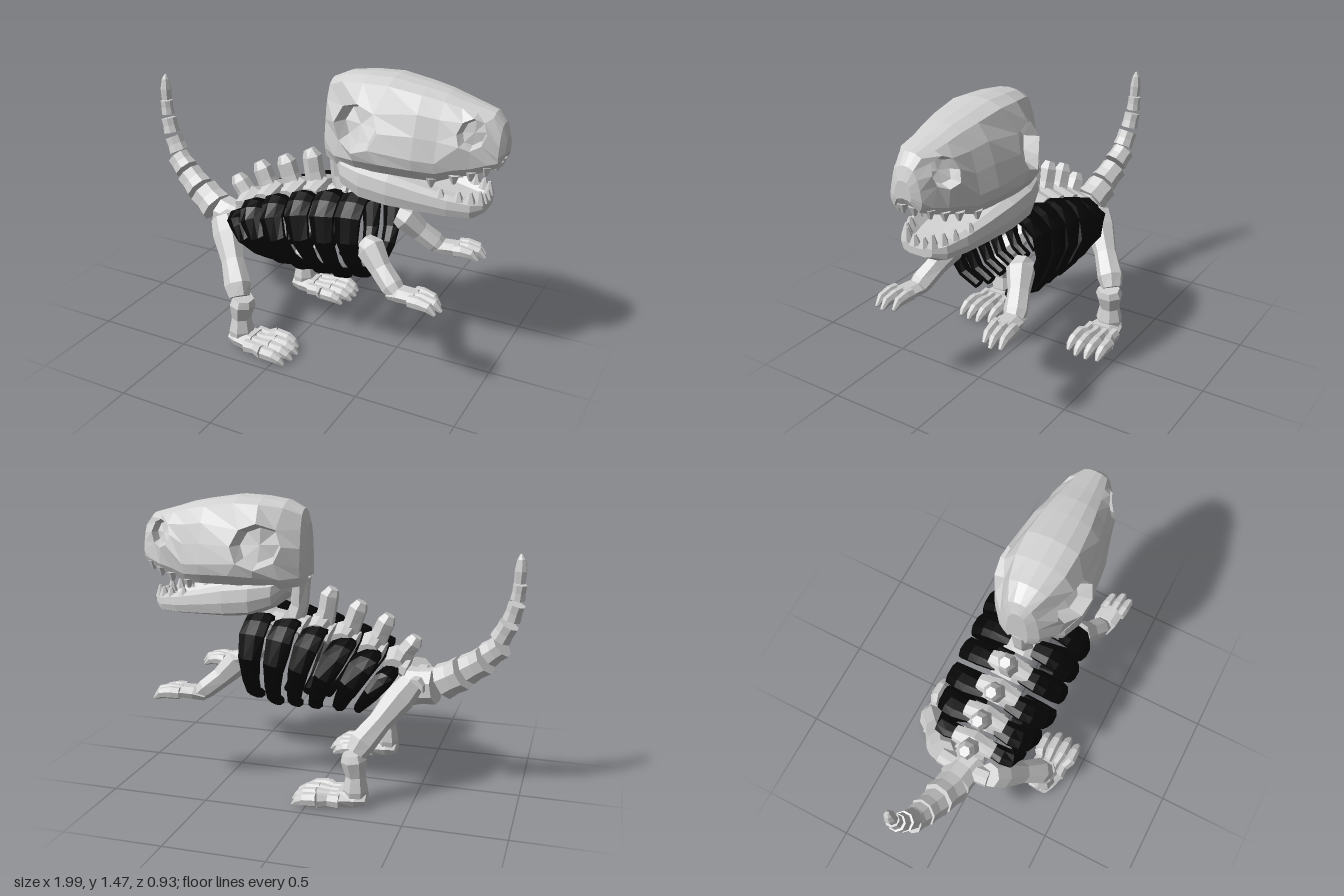
import * as THREE from 'three';

const boneMat = new THREE.MeshStandardMaterial({ color: 0xd0d0d0 });
boneMat.name = 'bone grey';
const ribMat = new THREE.MeshStandardMaterial({ color: 0x050505 });
ribMat.name = 'rib black';

// Faceted mesh from points and triangles, turned outward by its signed volume
function facetMesh(name, pts, tris, mat) {
  let vol = 0;
  for (const [a, b, c] of tris) vol += pts[a].dot(pts[b].clone().cross(pts[c]));
  const pos = [];
  for (const [a, b, c] of tris) {
    for (const i of vol < 0 ? [a, c, b] : [a, b, c]) pos.push(pts[i].x, pts[i].y, pts[i].z);
  }
  const geo = new THREE.BufferGeometry();
  geo.setAttribute('position', new THREE.Float32BufferAttribute(pos, 3));
  geo.computeVertexNormals();
  const mesh = new THREE.Mesh(geo, mat);
  mesh.name = name;
  return mesh;
}

// Loft closed rings; each hole replaces a 2 x 2 block of cells with a recessed socket
function loft(name, rings, mat = boneMat, holes = []) {
  const n = rings[0].length, pts = rings.flat(), tris = [];
  const id = (i, j) => i * n + (j % n);
  const quad = (a, b, c, d) => tris.push([a, b, c], [a, c, d]);
  const fan = (loop) => {
    const centre = new THREE.Vector3();
    loop.forEach((k) => centre.addScaledVector(pts[k], 1 / loop.length));
    pts.push(centre);
    loop.forEach((k, q) => tris.push([k, loop[(q + 1) % loop.length], pts.length - 1]));
  };
  for (let i = 0; i < rings.length - 1; i++) {
    for (let j = 0; j < n; j++) {
      if (holes.some((h) => i >= h.i && i < h.i + 2 && j >= h.j && j < h.j + 2)) continue;
      quad(id(i, j), id(i + 1, j), id(i + 1, j + 1), id(i, j + 1));
    }
  }
  fan(rings[0].map((_, j) => id(0, j)));
  fan(rings[0].map((_, j) => id(rings.length - 1, j)).reverse());
  for (const { i, j, x, y, rx, ry, depth, side } of holes) {
    const steps = [[0, 0], [1, 0], [2, 0], [2, 1], [2, 2], [1, 2], [0, 2], [0, 1]];
    const rim = steps.map(([a, b]) => id(i + a, j + b));
    const inner = rim.map((k, q) => {
      const ang = ((side > 0 ? 135 - 45 * q : 225 + 45 * q) * Math.PI) / 180;
      const cx = Math.cos(ang) * rx, cy = Math.sin(ang) * ry;
      pts[k].x = x + cx;
      pts[k].y = y + cy;
      pts.push(new THREE.Vector3(x + cx * 0.75, y + cy * 0.75, pts[k].z - side * depth));
      return pts.length - 1;
    });
    rim.forEach((k, q) => quad(k, rim[(q + 1) % 8], inner[(q + 1) % 8], inner[q]));
    fan(inner);
  }
  return facetMesh(name, pts, tris, mat);
}

// Bone swept through [x, y, z, radius, sideways radius]; s mirrors it in z
function bone(name, path, { s = 1, sides = 7, ref = [0, 0, 1], mat = boneMat } = {}) {
  const p = path.map(([x, y, z]) => new THREE.Vector3(x, y, z * s));
  const rings = p.map((c, i) => {
    const t = p[Math.min(i + 1, p.length - 1)].clone().sub(p[Math.max(i - 1, 0)]).normalize();
    const side = new THREE.Vector3(...ref);
    side.addScaledVector(t, -side.dot(t)).normalize();
    const up = side.clone().cross(t);
    const [r, rs = r] = path[i].slice(3);
    return Array.from({ length: sides }, (_, k) => {
      const a = ((k + 0.5) / sides) * Math.PI * 2;
      return c.clone().addScaledVector(up, Math.cos(a) * r).addScaledVector(side, Math.sin(a) * rs);
    });
  });
  return loft(name, rings, mat);
}

// Rings across x from sections [x, top, bottom, half width] and a half outline [width, drop]
function headRings(sections, half) {
  const outline = [...half, ...half.slice(1, -1).reverse().map(([w, d]) => [-w, d])];
  return sections.map(([x, top, low, w]) =>
    outline.map(([u, d]) => new THREE.Vector3(x, top + (low - top) * d, u * w)));
}

// Short blunt tooth
function tooth(x, y, z, h, down) {
  const geo = new THREE.CylinderGeometry(0.008, 0.028, h, 6).toNonIndexed();
  geo.computeVertexNormals();
  const mesh = new THREE.Mesh(geo, boneMat);
  mesh.name = 'tooth';
  if (down) mesh.rotation.x = Math.PI;
  mesh.position.set(x, y, z);
  return mesh;
}

export function createModel() {
  const model = new THREE.Group();
  model.name = 'dinosaurSkeleton';
  const add = (...m) => model.add(...m);

  // Skull with eye sockets and nostrils
  const skull = headRings([
    [0.1, 1.35, 1.06, 0.06], [0.125, 1.42, 1.04, 0.112], [0.21, 1.46, 1.03, 0.185],
    [0.33, 1.475, 1.045, 0.238], [0.46, 1.48, 1.05, 0.25], [0.62, 1.455, 1.045, 0.225],
    [0.72, 1.435, 1.04, 0.195], [0.8, 1.41, 1.07, 0.17], [0.87, 1.39, 1.085, 0.145],
    [0.94, 1.37, 1.11, 0.112], [0.98, 1.32, 1.125, 0.085], [1, 1.26, 1.17, 0.045],
  ], [[0, 0], [0.27, 0.015], [0.53, 0.075], [0.76, 0.26], [0.9, 0.5], [1, 0.75], [0.95, 0.88], [0.8, 1], [0.6, 0.93], [0, 0.88]]);
  const holes = [1, -1].flatMap((side) => [
    { side, i: 2, j: side > 0 ? 3 : 13, x: 0.325, y: 1.245, rx: 0.125, ry: 0.112, depth: 0.07 },
    { side, i: 7, j: side > 0 ? 3 : 13, x: 0.865, y: 1.278, rx: 0.062, ry: 0.072, depth: 0.045 },
  ]);
  add(loft('skull', skull, boneMat, holes));

  // Lower jaw, its back end tucked up inside the skull
  add(loft('lowerJaw', headRings([
    [0.19, 1.09, 1.0, 0.12], [0.25, 1.07, 0.93, 0.195], [0.36, 1.065, 0.885, 0.232],
    [0.5, 1.045, 0.87, 0.23], [0.65, 1.005, 0.865, 0.2], [0.78, 0.975, 0.86, 0.17],
    [0.88, 0.955, 0.86, 0.13], [0.925, 0.94, 0.885, 0.08],
  ], [[0, 0.38], [0.58, 0.33], [0.8, 0], [0.96, 0.15], [1, 0.5], [0.94, 0.82], [0.55, 1], [0, 1]])));

  // Neck
  add(bone('neck', [[0.2, 0.8, 0, 0.06, 0.07], [0.16, 0.92, 0, 0.048, 0.05], [0.15, 1.07, 0, 0.05, 0.06]]));

  // Back vertebrae: body, side wings and a leaning spine
  const back = [[-0.36, 0.655, -0.455, 0.8], [-0.23, 0.72, -0.315, 0.9], [-0.09, 0.765, -0.17, 0.96], [0.04, 0.8, -0.02, 1.02], [0.18, 0.83], [0.3, 0.85]];
  for (const [x, y, tx, ty] of back) {
    add(bone('vertebra', [[x - 0.055, y - 0.02, 0, 0.055, 0.09], [x, y, 0, 0.045, 0.075], [x + 0.055, y + 0.02, 0, 0.055, 0.09]], { sides: 8 }));
    if (tx === undefined) continue;
    add(bone('vertebraWings', [[x, y + 0.03, -0.11, 0.025, 0.045], [x, y + 0.05, 0, 0.045, 0.06], [x, y + 0.03, 0.11, 0.025, 0.045]], { ref: [1, 0, 0] }));
    add(bone('vertebraSpine', [[x, y, 0, 0.06, 0.06], [(x + tx) / 2, (y + ty) / 2, 0, 0.05, 0.05],
      [tx + 0.018, ty - 0.035, 0, 0.05, 0.048], [tx, ty, 0, 0.03, 0.028]], { sides: 6 }));
  }

  // Tail vertebrae curving up and to one side: [x, y, z, direction x, direction y, length, radius]
  const tail = [[-0.49, 0.545, 0, -1, 0.15, 0.14, 0.102], [-0.645, 0.61, -0.018, -1, 0.62, 0.115, 0.095],
    [-0.76, 0.69, -0.037, -1, 0.72, 0.105, 0.08], [-0.85, 0.777, -0.055, -0.7, 0.6, 0.085, 0.068],
    [-0.892, 0.877, -0.068, -0.4, 0.8, 0.085, 0.056], [-0.932, 0.978, -0.077, -0.25, 0.9, 0.08, 0.047],
    [-0.95, 1.077, -0.083, -0.12, 1, 0.075, 0.037]];
  for (const [x, y, z, dx, dy, len, r] of tail) {
    const k = len / 2 / Math.hypot(dx, dy), dz = 0.012 * dx;
    add(bone('tailVertebra', [[x - dx * k, y - dy * k, z - dz, r], [x, y, z, r * 0.9], [x + dx * k, y + dy * k, z + dz, r * 0.93]], { sides: 8 }));
  }
  add(bone('tailTip', [[-0.952, 1.122, -0.085, 0.028], [-0.955, 1.18, -0.087, 0.03], [-0.955, 1.235, -0.088, 0.02], [-0.953, 1.26, -0.088, 0.006]]));
  add(bone('pelvis', [[-0.47, 0.57, -0.14, 0.05], [-0.48, 0.56, 0, 0.05], [-0.47, 0.57, 0.14, 0.05]], { ref: [1, 0, 0], sides: 8 }));

  // Ribs: [top x, top y, tip x, tip y, widest z, half width]
  const ribs = [[-0.35, 0.65, -0.18, 0.425, 0.225, 0.05], [-0.25, 0.73, -0.08, 0.425, 0.26, 0.065],
    [-0.12, 0.78, 0.04, 0.425, 0.28, 0.065], [0.03, 0.83, 0.145, 0.425, 0.28, 0.065],
    [0.175, 0.86, 0.25, 0.425, 0.28, 0.067], [0.32, 0.88, 0.355, 0.455, 0.28, 0.07]];

  for (const s of [1, -1]) {
    const o = { s };
    const side = s > 0 ? 'left' : 'right';

    for (const [tx, ty, bx, by, z, w] of ribs) {
      const at = (f, zz, ww) => [tx + (bx - tx) * f, ty + (by - ty) * f, zz, 0.027, ww];
      add(bone(side + 'Rib', [at(0.05, 0.07, w * 0.8), at(0, 0.16, w), at(0.05, 0.2, w), at(0.16, z - 0.02, w),
        at(0.42, z, w * 0.85), at(0.72, z - 0.045, w * 0.65), at(0.9, z - 0.1, w * 0.55), at(1, 0.09, w * 0.5)],
      { s, ref: [1, 0, 0], sides: 8, mat: ribMat }));
    }

    // Teeth
    for (const [x, y, z] of [[0.7, 1.035, 0.16], [0.8, 1.06, 0.138], [0.87, 1.08, 0.115], [0.93, 1.105, 0.085], [0.965, 1.12, 0.03]]) add(tooth(x, y, z * s, 0.045, true));
    for (const [x, y, z, h] of [[0.74, 0.985, 0.145, 0.04], [0.82, 0.975, 0.122, 0.045], [0.87, 0.97, 0.1, 0.05], [0.905, 0.965, 0.07, 0.06], [0.91, 0.95, 0.025, 0.045]]) add(tooth(x, y, z * s, h, false));

    // Hind leg
    add(bone(side + 'Thigh', [[-0.46, 0.6, 0.14, 0.065], [-0.41, 0.535, 0.18, 0.078], [-0.33, 0.43, 0.26, 0.06],
      [-0.26, 0.34, 0.33, 0.07], [-0.235, 0.29, 0.355, 0.055]], o));
    add(bone(side + 'Shin', [[-0.22, 0.285, 0.345, 0.055, 0.06], [-0.225, 0.25, 0.345, 0.065, 0.075], [-0.235, 0.17, 0.345, 0.05, 0.055],
      [-0.235, 0.1, 0.345, 0.064, 0.072], [-0.235, 0.07, 0.345, 0.06, 0.068]], o));
    add(bone(side + 'Heel', [[-0.29, 0.05, 0.34, 0.03, 0.055], [-0.24, 0.053, 0.342, 0.045, 0.08], [-0.15, 0.053, 0.345, 0.042, 0.1]], o));
    [0.255, 0.315, 0.375, 0.435].forEach((z, i) => {
      const zi = 0.345 + (z - 0.345) * 0.8, fx = [-0.03, 0, 0, -0.015][i];
      add(bone(side + 'FootBone', [[-0.17, 0.052, zi, 0.038, 0.03], [-0.11, 0.052, zi, 0.034, 0.027], [-0.045 + fx, 0.053, z, 0.041, 0.032]], o));
      add(bone(side + 'Toe', [[-0.045 + fx, 0.056, z, 0.037, 0.032], [0.02 + fx, 0.05, z, 0.036, 0.029],
        [0.055 + fx, 0.036, z, 0.026, 0.022], [0.08 + fx, 0.016, z, 0.009]], o));
    });

    // Front leg
    add(bone(side + 'Forearm', [[0.39, 0.67, 0.2, 0.055], [0.43, 0.655, 0.21, 0.072], [0.5, 0.58, 0.245, 0.055],
      [0.575, 0.52, 0.275, 0.052, 0.06], [0.61, 0.49, 0.285, 0.04, 0.05]], o));
    add(bone(side + 'Palm', [[0.57, 0.485, 0.28, 0.025, 0.05], [0.63, 0.5, 0.287, 0.036, 0.065], [0.71, 0.505, 0.295, 0.032, 0.065]], o));
    [0.25, 0.3, 0.345].forEach((z, i) => {
      const fx = [-0.015, 0.01, -0.005][i];
      add(bone(side + 'Finger', [[0.69, 0.505, z, 0.032, 0.027], [0.74 + fx, 0.507, z + 0.005, 0.034, 0.027],
        [0.795 + fx, 0.5, z + 0.01, 0.028, 0.022], [0.83 + fx, 0.47, z + 0.012, 0.009]], o));
    });
  }
  return model;
}
